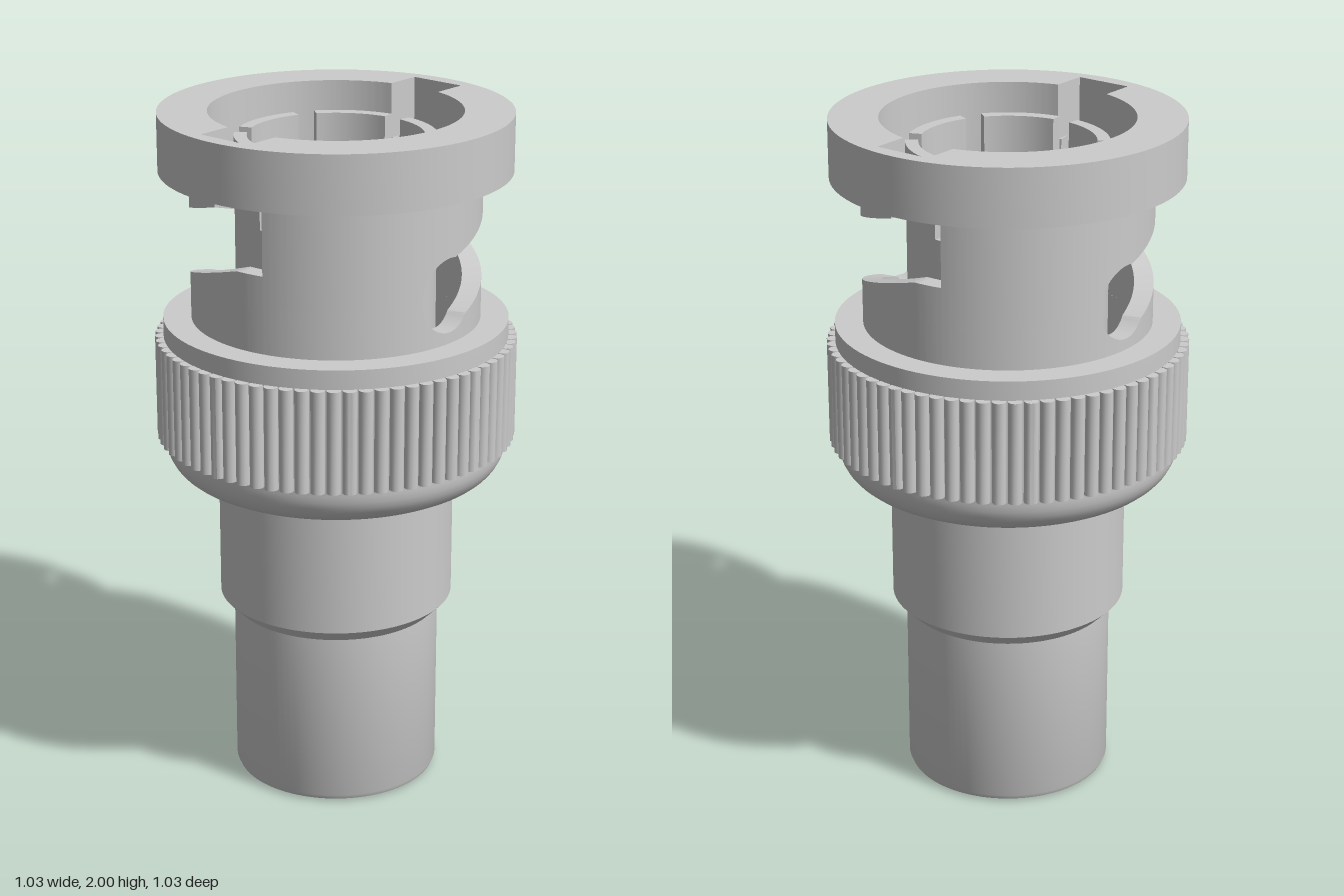
import * as THREE from 'three';
import { mergeGeometries, toCreasedNormals } from 'three/addons/utils/BufferGeometryUtils.js';

const rad = THREE.MathUtils.degToRad;
const material = new THREE.MeshStandardMaterial({ color: 0xcccccc });

function addPart(group, name, geometry, crease = 0.5) {
  const mesh = new THREE.Mesh(toCreasedNormals(geometry, crease), material);
  mesh.name = name;
  group.add(mesh);
}

// Sweeps a rectangular wall section about the y axis.
// Each section is [degrees from +z towards -x, bottom, top]; repeated angles make steps.
function sweepWall(inner, outer, sections, capped) {
  const positions = [];
  const rings = sections.map(([deg, y0, y1]) => {
    const s = -Math.sin(rad(deg)), c = Math.cos(rad(deg));
    return [[inner, y0], [outer, y0], [outer, y1], [inner, y1]].map(([r, y]) => [r * s, y, r * c]);
  });
  const quad = (a, b, c, d) => positions.push(...a, ...b, ...c, ...a, ...c, ...d);
  for (let i = 0; i + 1 < rings.length; i++) {
    const p = rings[i], q = rings[i + 1];
    for (let k = 0; k < 4; k++) {
      const n = (k + 1) % 4;
      quad(p[k], p[n], q[n], q[k]);
    }
  }
  if (capped) {
    const [a, b, c, d] = rings[0];
    quad(a, d, c, b);
    quad(...rings[rings.length - 1]);
  }
  const geometry = new THREE.BufferGeometry();
  geometry.setAttribute('position', new THREE.Float32BufferAttribute(positions, 3));
  return geometry;
}

// Edges of the helical locking slot, ending in a round hole at 90 degrees
const ENTRY = 12, HOLE_Y = 1.548, HOLE_R = 0.106, OUTER = 0.41, INNER = 0.355;
function holeHalfHeight(t) {
  const z = OUTER * Math.sin(rad(t - 90));
  return Math.sqrt(Math.max(0, HOLE_R * HOLE_R - z * z));
}
function slotLow(t) {
  const round = HOLE_Y - holeHalfHeight(t);
  return t > 90 ? round : Math.min(round > HOLE_Y - 0.001 ? 9 : round, 1.63 - 0.155 * Math.max(0, t) / 80);
}
function slotHigh(t) {
  const round = HOLE_Y + holeHalfHeight(t);
  return t > 90 ? round : Math.max(round, 1.79 - 0.14 * (t - ENTRY) / 76);
}

function addSleeve(group) {
  const lower = [];
  for (const turn of [0, 180]) {
    const upper = [];
    lower.push([turn - ENTRY, 1.4, HOLE_Y]);
    for (let t = -ENTRY; t <= 180 - ENTRY; t++) {
      lower.push([t + turn, 1.4, slotLow(t)]);
      if (t >= ENTRY) upper.push([t + turn, slotHigh(t), 1.84]);
    }
    addPart(group, 'sleeveUpperWall', sweepWall(INNER, OUTER, upper, true));
  }
  addPart(group, 'sleeveLowerWall', sweepWall(INNER, OUTER, lower, false));
}

// Flat rim with two entry notches
function addRim(group) {
  const w = 0.085, depth = 0.45, a = Math.asin(w / INNER), q = Math.PI / 2;
  const shape = new THREE.Shape().absarc(0, 0, 0.495, 0, Math.PI * 2, false);
  const hole = new THREE.Path();
  hole.moveTo(w, INNER * Math.cos(a));
  hole.lineTo(w, depth);
  hole.lineTo(-w, depth);
  hole.absarc(0, 0, INNER, q + a, 3 * q - a, false);
  hole.lineTo(-w, -depth);
  hole.lineTo(w, -depth);
  hole.absarc(0, 0, INNER, -q + a, q - a, false);
  shape.holes.push(hole);
  const geometry = new THREE.ExtrudeGeometry(shape, { depth: 0.165, bevelEnabled: false, curveSegments: 64 });
  geometry.rotateX(-Math.PI / 2).translate(0, 1.835, 0);
  addPart(group, 'notchedRim', geometry);
}

// Contact ring split into six fingers
function addContactRing(group) {
  const slit = 6.4, sections = [];
  for (let k = 0; k < 6; k++) {
    const start = k * 60;
    sections.push([start - slit, 1.19, 1.71], [start, 1.19, 1.71], [start + slit, 1.19, 1.71]);
    for (let i = 0; i <= 12; i++) {
      sections.push([start + slit + (60 - 2 * slit) * i / 12, 1.19, 1.93]);
    }
  }
  sections.push([360 - slit, 1.19, 1.71]);
  addPart(group, 'contactRing', sweepWall(0.247, 0.283, sections, false));
}

export function createModel() {
  const group = new THREE.Group();
  group.name = 'coaxialConnector';

  // Turned body: socket underneath, stepped barrel, rounded collar, cavity on top
  const profile = [
    [0, 0.4], [0.117, 0.4], [0.117, 0.045], [0.18, 0.045], [0.18, 0], [0.28, 0],
    [0.294, 0.006], [0.3, 0.02], [0.3, 0.525], [0.34, 0.565], [0.34, 0.945],
  ];
  for (let i = 0; i <= 8; i++) {
    const a = (i / 8) * Math.PI / 2;
    profile.push([0.39 + 0.1 * Math.sin(a), 1.045 - 0.1 * Math.cos(a)]);
  }
  profile.push([0.49, 1.41], [INNER, 1.41], [INNER, 1.2], [0, 1.2]);
  addPart(group, 'body', new THREE.LatheGeometry(profile.map(([r, y]) => new THREE.Vector2(r, y)), 96));

  // Grip ridges
  const ridges = [];
  for (let i = 0; i < 72; i++) {
    const a = (i / 72) * Math.PI * 2;
    ridges.push(new THREE.CylinderGeometry(0.02, 0.02, 0.295, 12)
      .translate(0.495 * Math.sin(a), 1.2075, 0.495 * Math.cos(a)));
  }
  addPart(group, 'gripRidges', mergeGeometries(ridges), 0.7);

  addSleeve(group);
  addRim(group);
  addContactRing(group);

  // Centre pin with a round tip
  const pin = [new THREE.Vector2(0.036, 1.19)];
  for (let i = 0; i <= 8; i++) {
    const a = (i / 8) * Math.PI / 2;
    pin.push(new THREE.Vector2(0.036 * Math.cos(a), 1.824 + 0.036 * Math.sin(a)));
  }
  addPart(group, 'centrePin', new THREE.LatheGeometry(pin, 24));
  return group;
}
